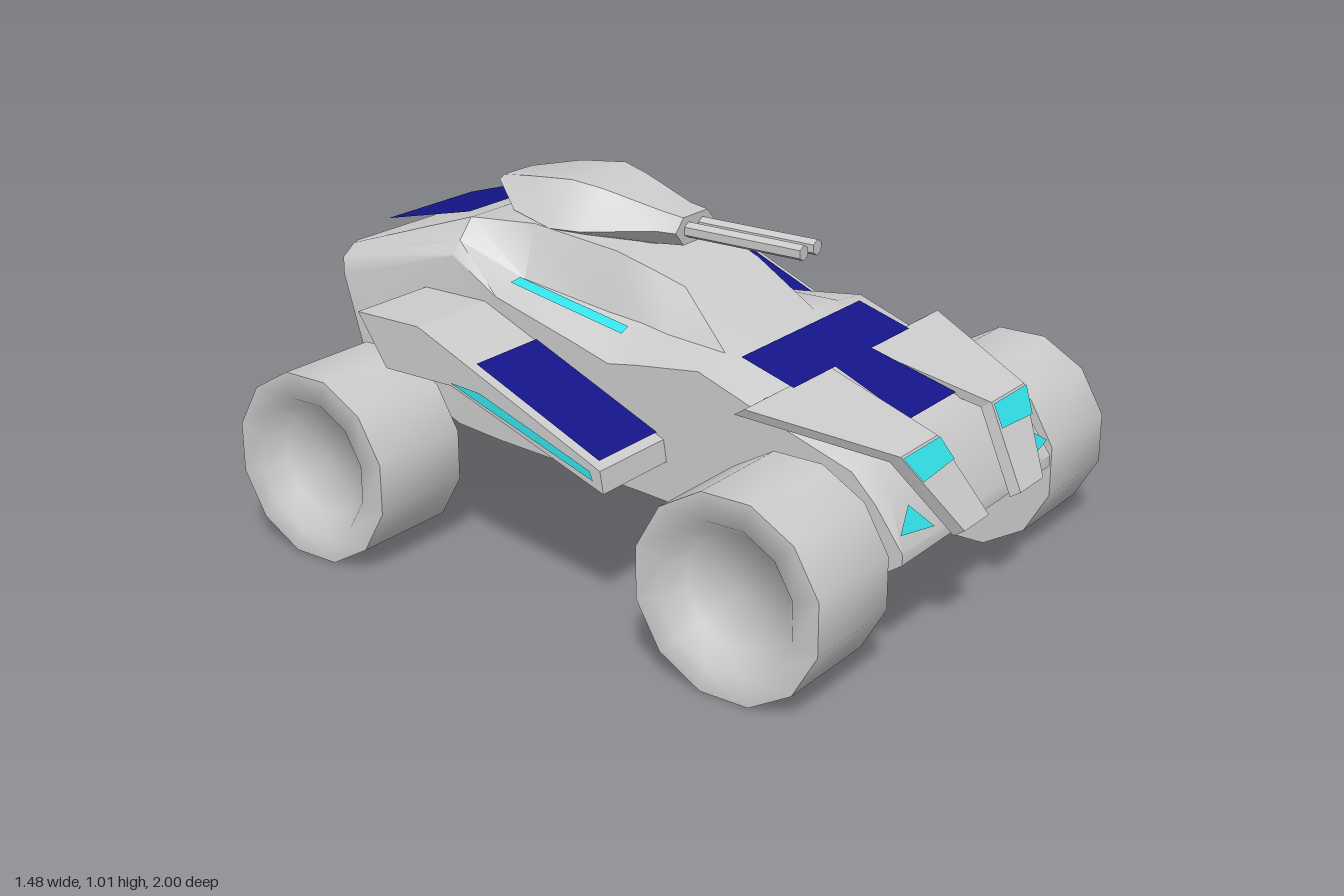
import * as THREE from 'three';
import { toCreasedNormals } from 'three/addons/utils/BufferGeometryUtils.js';

const GREY = 0xcccccc, NAVY = 0x14148a, CYAN = 0x33e0e8;
const material = (color, side = THREE.FrontSide) => new THREE.MeshStandardMaterial({ color, side });
const grey = material(GREY);
const navy = material(NAVY, THREE.DoubleSide);
const cyan = material(CYAN, THREE.DoubleSide);

function add(parent, name, geometry, mat) {
  const mesh = new THREE.Mesh(geometry, mat);
  mesh.name = name;
  parent.add(mesh);
  return mesh;
}

// Skin closed rings (front to back, counter-clockwise from the front) and cap both ends
function loft(rings, crease) {
  const n = rings[0].length, last = (rings.length - 1) * n, index = [];
  for (let i = 0; i < rings.length - 1; i++) {
    for (let j = 0; j < n; j++) {
      const a = i * n + j, b = i * n + (j + 1) % n;
      index.push(a, a + n, b, b, a + n, b + n);
    }
  }
  for (let j = 1; j < n - 1; j++) index.push(0, j, j + 1, last, last + j + 1, last + j);
  const g = new THREE.BufferGeometry();
  g.setAttribute('position', new THREE.Float32BufferAttribute(rings.flat(2), 3));
  g.setIndex(index);
  g.computeVertexNormals();
  return toCreasedNormals(g, crease);
}

// Complete a half section (right side, bottom to top) by mirroring it in x
const mirrorRing = half => [...half, ...half.map(([x, y, z]) => [-x, y, z]).reverse()];

// Thin coloured polygon from corner points
function panel(parent, name, points, mat) {
  const g = new THREE.BufferGeometry();
  const index = [];
  for (let j = 1; j < points.length - 1; j++) index.push(0, j, j + 1);
  g.setAttribute('position', new THREE.Float32BufferAttribute(points.flat(), 3));
  g.setIndex(index);
  g.computeVertexNormals();
  return add(parent, name, g, mat);
}

function buildBody(parent) {
  // z, bottom y, shoulder y, inner x, inner y, top x, top y
  const stations = [
    [0.93, 0.30, 0.33, 0.34, 0.335, 0.20, 0.34],
    [0.85, 0.245, 0.44, 0.33, 0.46, 0.20, 0.47],
    [0.78, 0.25, 0.51, 0.31, 0.54, 0.20, 0.55],
    [0.54, 0.265, 0.59, 0.30, 0.62, 0.20, 0.63],
    [0.32, 0.28, 0.67, 0.27, 0.685, 0.15, 0.69],
    [0.12, 0.295, 0.645, 0.25, 0.69, 0.17, 0.80],
    [0.03, 0.30, 0.63, 0.24, 0.70, 0.18, 0.83],
    [-0.085, 0.31, 0.665, 0.24, 0.71, 0.20, 0.87],
    [-0.35, 0.325, 0.74, 0.27, 0.76, 0.22, 0.905],
    [-0.50, 0.34, 0.83, 0.36, 0.865, 0.31, 0.92],
  ];
  const rings = stations.map(([z, yb, ys, xi, yi, xt, yt]) =>
    mirrorRing([[0.39, yb, z], [0.39, ys, z], [xi, yi, z], [xt, yt, z]]));
  // Raked tail
  rings.push(mirrorRing([[0.39, 0.50, -0.86], [0.39, 0.70, -0.92], [0.365, 0.74, -0.945], [0.31, 0.767, -0.955]]));
  rings.push(mirrorRing([[0.31, 0.50, -0.88], [0.31, 0.70, -0.945], [0.31, 0.74, -0.96], [0.28, 0.765, -0.97]]));
  add(parent, 'body', loft(rings, 0.6), grey);

  panel(parent, 'rearDeckPanel',
    [[-0.275, 0.92, -0.54], [0.275, 0.92, -0.54], [0.18, 0.812, -0.94], [-0.18, 0.812, -0.94]], navy);
  panel(parent, 'hoodBar',
    [[-0.285, 0.643, 0.54], [0.285, 0.643, 0.54], [0.285, 0.692, 0.38], [-0.285, 0.692, 0.38]], navy);
  panel(parent, 'hoodStem',
    [[-0.12, 0.562, 0.78], [0.12, 0.562, 0.78], [0.09, 0.643, 0.54], [-0.09, 0.643, 0.54]], navy);
}

function buildTurret(parent) {
  // z, then x,y of the bottom, widest and top corners
  const stations = [
    [0.03, 0.055, 0.87, 0.09, 0.91, 0.055, 0.947],
    [-0.03, 0.06, 0.865, 0.10, 0.91, 0.06, 0.955],
    [-0.21, 0.12, 0.86, 0.20, 0.90, 0.10, 1.0],
    [-0.30, 0.13, 0.86, 0.22, 0.90, 0.12, 1.015],
    [-0.45, 0.12, 0.885, 0.19, 0.92, 0.11, 1.0],
    [-0.595, 0.06, 0.955, 0.08, 0.962, 0.06, 0.972],
  ];
  const turret = new THREE.Group();
  turret.name = 'turret';
  parent.add(turret);
  const rings = stations.map(([z, xb, yb, xw, yw, xt, yt]) =>
    mirrorRing([[xb, yb, z], [xw, yw, z], [xt, yt, z]]));
  add(turret, 'turretShell', loft(rings, 0.6), grey);
  for (const s of [-1, 1]) {
    const barrel = new THREE.CylinderGeometry(0.022, 0.022, 0.42, 6).rotateX(Math.PI / 2);
    add(turret, 'gunBarrel', toCreasedNormals(barrel, 0.6), grey).position.set(s * 0.032, 0.909, 0.19);
  }
}

// Folded armour plate over each front wheel, with its lights
function buildFrontShield(parent, s) {
  const side = points => points.map(([x, y, z]) => [s * x, y, z]);
  const edges = [ // inner x, outer x, y, z from tip to back
    [0.085, 0.21, 0.345, 1.0],
    [0.14, 0.32, 0.548, 0.875],
    [0.09, 0.475, 0.64, 0.52],
  ];
  const rings = edges.map(([xi, xo, y, z]) => {
    const ring = side([[xi, y - 0.02, z - 0.03], [xo, y - 0.02, z - 0.03], [xo, y, z], [xi, y, z]]);
    return s > 0 ? ring : ring.reverse();
  });
  add(parent, 'frontShield', loft(rings, 0.4), grey);
  panel(parent, 'upperHeadlight', side([
    [0.14, 0.546, 0.882], [0.32, 0.546, 0.882], [0.285, 0.482, 0.922], [0.125, 0.49, 0.917]]), cyan);
  panel(parent, 'lowerHeadlight', side([
    [0.385, 0.375, 0.92], [0.31, 0.425, 0.895], [0.245, 0.355, 0.935]]), cyan);
}

// Wedge pod on each flank
function buildSidePod(parent, s) {
  const outline = [[0.22, 0.40], [0.21, 0.46], [-0.39, 0.72], [-0.605, 0.72], [-0.51, 0.58], [-0.28, 0.58]];
  const shape = new THREE.Shape(outline.map(([z, y]) => new THREE.Vector2(-z, y)));
  const geometry = new THREE.ExtrudeGeometry(shape, { depth: 0.28, bevelEnabled: false }).rotateY(Math.PI / 2);
  add(parent, 'sidePod', geometry, grey).position.x = s > 0 ? 0.375 : -0.655;
  panel(parent, 'podTopPanel', [
    [s * 0.392, 0.476, 0.19], [s * 0.632, 0.476, 0.19],
    [s * 0.632, 0.649, -0.21], [s * 0.392, 0.649, -0.21]], navy);
  panel(parent, 'podSideLight', [
    [s * 0.659, 0.43, 0.19], [s * 0.659, 0.455, 0.18], [s * 0.659, 0.583, -0.18],
    [s * 0.659, 0.59, -0.28], [s * 0.659, 0.565, -0.21]], cyan);
  panel(parent, 'shoulderLight', [
    [s * 0.275, 0.697, 0.01], [s * 0.305, 0.685, 0.01],
    [s * 0.328, 0.765, -0.35], [s * 0.288, 0.77, -0.35]], cyan);
}

// Twelve-sided wheel with a dished outer face
function buildWheel(parent, s, z) {
  const r = 0.265 / Math.cos(Math.PI / 12);
  const profile = [[0, -0.155], [r, -0.155], [r, 0.155], [0.2, 0.155], [0.155, 0.1], [0, 0.085]]
    .map(([x, y]) => new THREE.Vector2(x, y));
  const geometry = new THREE.LatheGeometry(profile, 12, Math.PI / 12).rotateZ(-s * Math.PI / 2);
  add(parent, z > 0 ? 'frontWheel' : 'rearWheel', toCreasedNormals(geometry, 1.0), grey)
    .position.set(s * 0.585, 0.265, z);
}

export function createModel() {
  const model = new THREE.Group();
  model.name = 'armouredBuggy';
  buildBody(model);
  buildTurret(model);
  for (const s of [-1, 1]) {
    buildFrontShield(model, s);
    buildSidePod(model, s);
    for (const z of [0.65, -0.735]) buildWheel(model, s, z);
  }
  return model;
}
